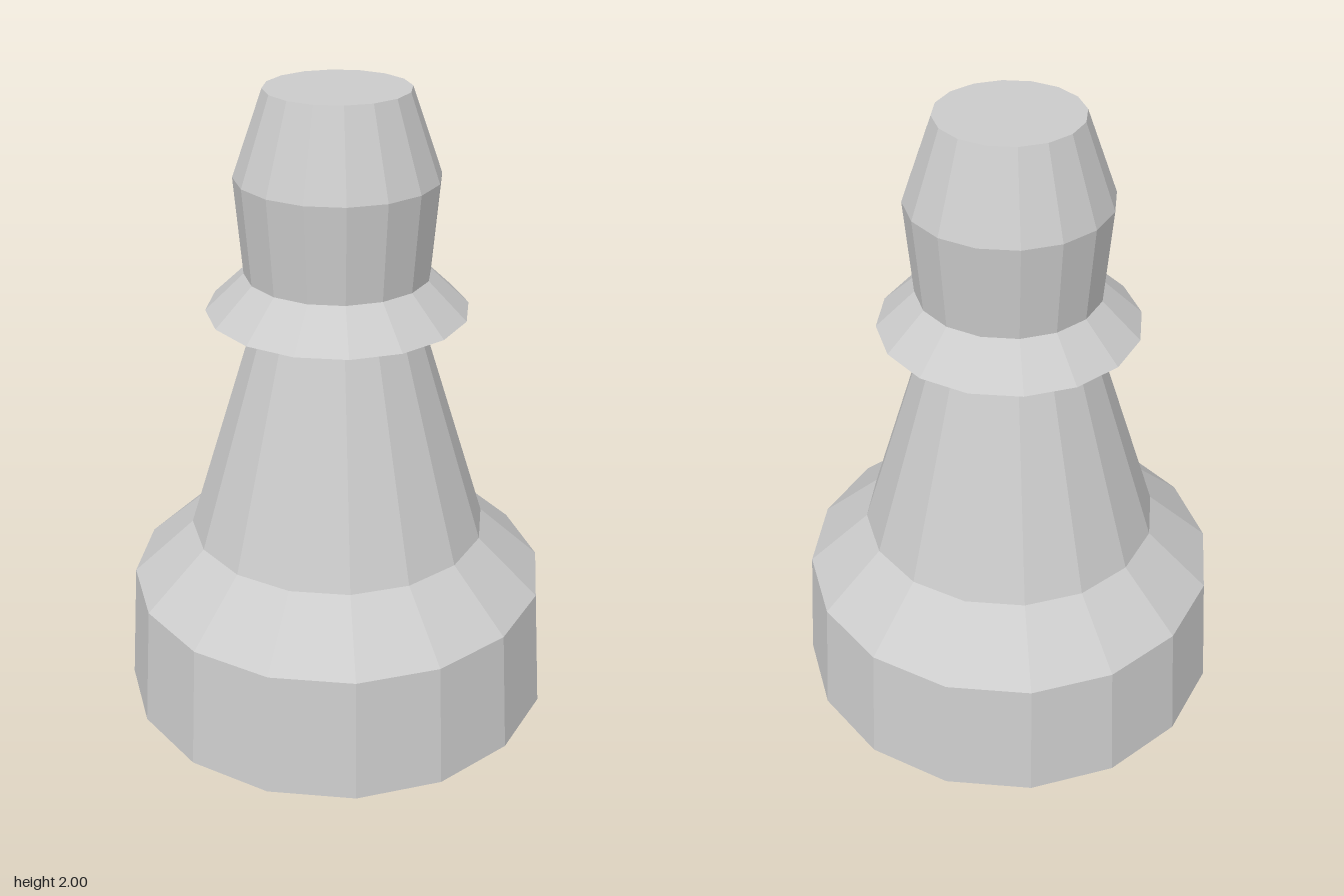
import * as THREE from 'three';

const SIDES = 16;
const material = new THREE.MeshStandardMaterial({ color: 0xcccccc, flatShading: true });

// Faceted ring section turned from [radius, height] points, bottom to top
function turned(name, profile) {
  const points = profile.map(([r, y]) => new THREE.Vector2(r, y));
  const mesh = new THREE.Mesh(new THREE.LatheGeometry(points, SIDES), material);
  mesh.name = name;
  return mesh;
}

export function createModel() {
  const group = new THREE.Group();
  group.name = 'pawn';
  group.add(
    // Closed foot with a sloping shoulder
    turned('base', [[0, 0], [0.7, 0], [0.67, 0.405], [0.475, 0.585]]),
    // Tapering stem
    turned('body', [[0.475, 0.585], [0.265, 1.265]]),
    // Sharp-edged ring below the head
    turned('collar', [[0.265, 1.265], [0.405, 1.325], [0.285, 1.44]]),
    // Flared head with a flat top
    turned('head', [[0.285, 1.44], [0.31, 1.74], [0.218, 2], [0, 2]]),
  );
  return group;
}
